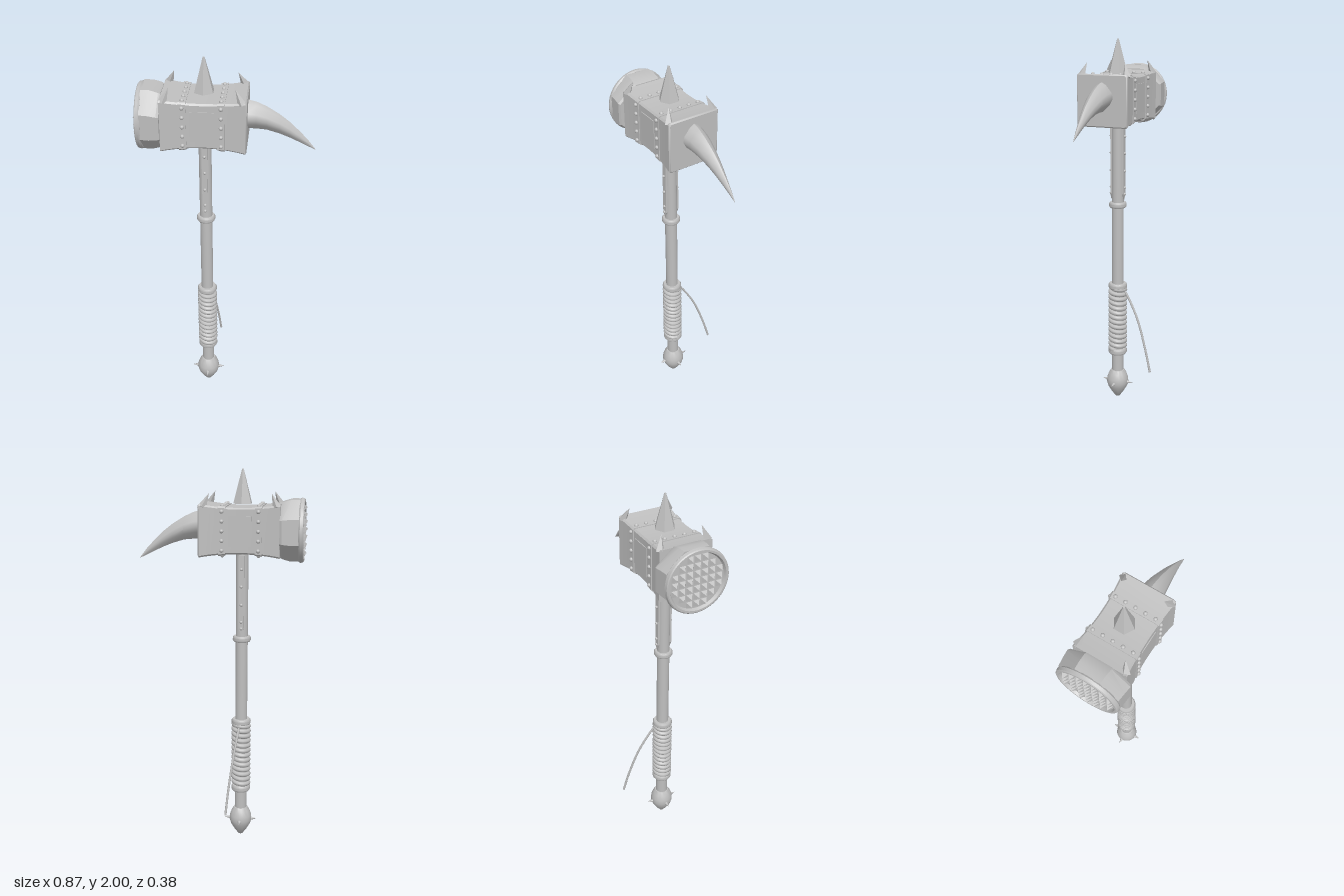
import * as THREE from 'three';
import { toCreasedNormals } from 'three/addons/utils/BufferGeometryUtils.js';

const steel = new THREE.MeshStandardMaterial({ color: 0xbfbfbf });
steel.name = 'grey steel';

const CX = -0.11, CZ = 0.027, CY = 1.702; // handle axis and head centre height

function add(parent, name, geometry, x = 0, y = 0, z = 0) {
  const mesh = new THREE.Mesh(geometry, steel);
  mesh.name = name;
  mesh.position.set(x, y, z);
  parent.add(mesh);
  return mesh;
}

// Skin over cross-sections along +x; each ring is a loop of [x, y, z] running from +y to +z
function loft(rings, crease = 0.6) {
  const n = rings[0].length, pos = rings.flat(2), index = [];
  for (let i = 0; i < rings.length - 1; i++) {
    for (let j = 0; j < n; j++) {
      const a = i * n + j, b = i * n + (j + 1) % n;
      index.push(a, b, a + n, b, b + n, a + n);
    }
  }
  const last = (rings.length - 1) * n;
  for (let j = 1; j < n - 1; j++) {
    index.push(0, j + 1, j, last, last + j, last + j + 1);
  }
  const g = new THREE.BufferGeometry();
  g.setAttribute('position', new THREE.Float32BufferAttribute(pos, 3));
  g.setIndex(index);
  return toCreasedNormals(g, crease);
}

// Rectangle with cut corners, half sizes h (y) and w (z)
function boxRing(x, h, w, c) {
  return [[h, -w + c], [h, w - c], [h - c, w], [-h + c, w], [-h, w - c], [-h, -w + c], [-h + c, -w], [h - c, -w]]
    .map(([y, z]) => [x, CY + y, CZ + z]);
}

// Waisted outline of the head
function waist(x) {
  const t = Math.min(1, Math.abs(x - CX) / 0.21);
  return { h: 0.114 + 0.019 * t * t, w: 0.122 + 0.016 * t * t };
}

function waistedSleeve(x0, x1, offset, steps) {
  const rings = [];
  for (let i = 0; i <= steps; i++) {
    const x = x0 + (x1 - x0) * i / steps, s = waist(x);
    rings.push(boxRing(x, s.h + offset, s.w + offset, 0.008));
  }
  return rings;
}

function buildHead() {
  const head = new THREE.Group();
  head.name = 'head';

  // Block with softened ends
  const rings = waistedSleeve(-0.31, 0.094, 0, 14);
  rings.push(boxRing(0.1, 0.126, 0.131, 0.008));
  add(head, 'headBlock', loft(rings));

  // Riveted bands
  const rivet = new THREE.SphereGeometry(0.01, 12, 8);
  for (const x of [-0.203, -0.02]) {
    add(head, 'band', loft(waistedSleeve(x - 0.018, x + 0.018, 0.004, 2)));
    const { h, w } = waist(x);
    for (let i = -2; i <= 2; i++) {
      for (const s of [-1, 1]) {
        add(head, 'bandRivet', rivet, x, CY + s * (h + 0.005), CZ + i * 0.051);
        add(head, 'bandRivet', rivet, x, CY + i * 0.048, CZ + s * (w + 0.005));
      }
    }
  }

  // Side panels
  for (const s of [-1, 1]) {
    add(head, 'sidePanel', new THREE.BoxGeometry(0.115, 0.15, 0.008), CX, CY, CZ + s * 0.122);
  }

  // Top spike
  const spike = new THREE.CylinderGeometry(0.005, 0.052, 0.17, 6);
  add(head, 'topSpike', toCreasedNormals(spike, 0.5), CX, 1.915, CZ);

  // Inward-leaning claws at the top corners
  for (const sx of [-1, 1]) {
    for (const sz of [-1, 1]) {
      const base = new THREE.Vector3(sx < 0 ? -0.293 : 0.078, 1.818, CZ + sz * 0.123);
      const tip = new THREE.Vector3(sx < 0 ? -0.265 : 0.045, 1.887, CZ + sz * 0.103);
      const dir = tip.clone().sub(base);
      const g = new THREE.ConeGeometry(0.022, dir.length(), 4);
      g.translate(0, dir.length() / 2, 0);
      const claw = add(head, 'cornerClaw', toCreasedNormals(g, 0.5), base.x, base.y, base.z);
      claw.quaternion.setFromUnitVectors(new THREE.Vector3(0, 1, 0), dir.normalize());
    }
  }

  // Curved horn: x, top, bottom, half width
  const section = [[1, 0], [0.82, 0.38], [0.3, 0.9], [-0.1, 1], [-0.5, 0.75], [-1, 0.12]];
  const loop = [...section, ...section.slice(1).reverse().map(([y, z]) => [y, -z])];
  const stations = [
    [0.095, 1.797, 1.65, 0.061], [0.14, 1.786, 1.65, 0.054], [0.19, 1.763, 1.645, 0.046],
    [0.25, 1.726, 1.627, 0.034], [0.3, 1.687, 1.607, 0.025], [0.35, 1.639, 1.583, 0.015],
    [0.39, 1.597, 1.563, 0.008], [0.43, 1.546, 1.544, 0.0005],
  ];
  add(head, 'horn', loft(stations.map(([x, top, bottom, w]) =>
    loop.map(([y, z]) => [x, (top + bottom) / 2 + y * (top - bottom) / 2, CZ + z * w])), 0.7));
  return head;
}

function buildStrikingFace() {
  const face = new THREE.Group();
  face.name = 'strikingFace';

  // Eight-sided neck
  const octagon = ([x, ry, rz]) => Array.from({ length: 8 }, (_, i) => {
    const a = (i - 0.5) * Math.PI / 4, k = 1 / Math.cos(Math.PI / 8);
    return [x, CY + Math.cos(a) * ry * k, CZ + Math.sin(a) * rz * k];
  });
  add(face, 'neck', loft([[-0.403, 0.152, 0.152], [-0.36, 0.152, 0.157], [-0.32, 0.141, 0.161], [-0.309, 0.135, 0.155]].map(octagon), 0.45));

  // Round rim with a recessed plate
  const profile = [[0, 0], [0.157, 0], [0.163, 0.008], [0.16, 0.022], [0.155, 0.026], [0.145, 0.026], [0.138, 0.012], [0, 0.012]]
    .map(([r, y]) => new THREE.Vector2(r, y));
  const rim = toCreasedNormals(new THREE.LatheGeometry(profile, 40), 0.6);
  add(face, 'rim', rim.rotateZ(Math.PI / 2), -0.4, CY - 0.003, CZ);

  // Grid of pyramid teeth
  const tooth = toCreasedNormals(new THREE.ConeGeometry(0.023, 0.026, 4), 0.3);
  tooth.rotateY(Math.PI / 4).rotateZ(Math.PI / 2);
  for (let i = -3; i <= 3; i++) {
    for (let j = -3; j <= 3; j++) {
      const y = i * 0.038, z = j * 0.038;
      if (Math.hypot(y, z) < 0.122) add(face, 'tooth', tooth, -0.424, CY - 0.003 + y, CZ + z);
    }
  }
  return face;
}

function buildHandle() {
  const handle = new THREE.Group();
  handle.name = 'handle';
  handle.position.set(CX, 0, CZ);

  add(handle, 'shaft', new THREE.CylinderGeometry(0.032, 0.032, 1.425, 24), 0, 0.8625, 0);

  // Collars
  const collar = (r, h) => toCreasedNormals(new THREE.LatheGeometry(
    [[0.03, -h], [r - 0.006, -h], [r, -h * 0.4], [r, h * 0.4], [r - 0.006, h], [0.03, h]].map((p) => new THREE.Vector2(...p)), 24), 0.9);
  add(handle, 'collar', collar(0.048, 0.015), 0, 1.13, 0);
  for (const y of [0.67, 0.285]) add(handle, 'gripCollar', collar(0.052, 0.016), 0, y, 0);

  // Wound grip
  const turns = 13, coil = [];
  for (let i = 0; i <= turns * 12; i++) {
    const a = i / 12 * Math.PI * 2;
    coil.push(new THREE.Vector3(Math.cos(a) * 0.041, 0.298 + 0.36 * i / (turns * 12), Math.sin(a) * 0.041));
  }
  add(handle, 'gripWrap', new THREE.TubeGeometry(new THREE.CatmullRomCurve3(coil), turns * 20, 0.0125, 8));

  // Loose strap end behind the grip
  const strap = new THREE.CatmullRomCurve3([[0.005, 0.66, -0.035], [0.013, 0.6, -0.075], [0.028, 0.49, -0.132], [0.045, 0.34, -0.182], [0.056, 0.21, -0.216]]
    .map((p) => new THREE.Vector3(...p)));
  add(handle, 'looseStrap', new THREE.TubeGeometry(strap, 24, 0.006, 6));

  // Riveted straps front and back, pointed at the lower end
  const outline = new THREE.Shape([[-0.014, 1.57], [-0.014, 1.19], [0, 1.16], [0.014, 1.19], [0.014, 1.57]].map((p) => new THREE.Vector2(...p)));
  const plate = new THREE.ExtrudeGeometry(outline, { depth: 0.012, bevelEnabled: false });
  const rivet = new THREE.SphereGeometry(0.008, 10, 8);
  for (const s of [-1, 1]) {
    add(handle, 'langet', plate, 0, 0, s > 0 ? 0.026 : -0.038);
    for (const y of [1.5, 1.41, 1.315, 1.225, 1.19]) add(handle, 'langetRivet', rivet, 0, y, s * 0.039);
  }

  // Pommel with four small spikes
  const profile = [[0, 0], [0.012, 0.006], [0.034, 0.035], [0.054, 0.07], [0.061, 0.095], [0.059, 0.12], [0.049, 0.148], [0.037, 0.168], [0, 0.172]]
    .map((p) => new THREE.Vector2(...p));
  add(handle, 'pommel', toCreasedNormals(new THREE.LatheGeometry(profile, 28), 0.7));
  const thorn = new THREE.ConeGeometry(0.011, 0.036, 8).rotateX(Math.PI / 2).translate(0, 0, 0.073);
  for (let i = 0; i < 4; i++) add(handle, 'pommelSpike', thorn, 0, 0.098, 0).rotation.y = i * Math.PI / 2;
  return handle;
}

export function createModel() {
  const model = new THREE.Group();
  model.name = 'warHammer';
  model.add(buildHead(), buildStrikingFace(), buildHandle());
  return model;
}
